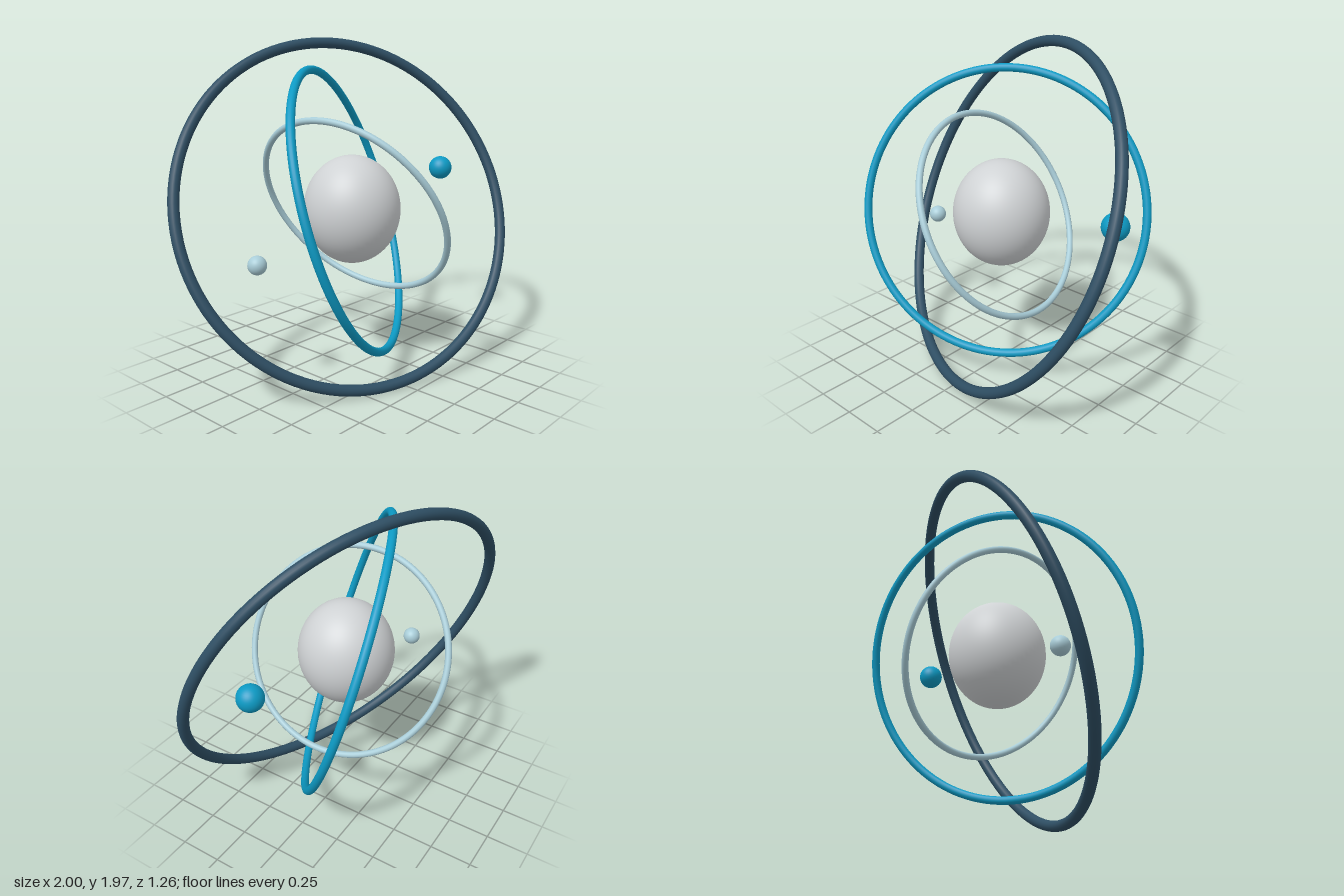
import * as THREE from 'three';

const CENTER_Y = 0.985;

const paint = (name, color) => {
  const m = new THREE.MeshStandardMaterial({ color });
  m.name = name;
  return m;
};

export function createModel() {
  const group = new THREE.Group();
  group.name = 'orbitModel';

  const grey = paint('core grey', 0xcfd2d4);
  const navy = paint('slate navy', 0x2e4e63);
  const blue = paint('bright blue', 0x0d9ac4);
  const pale = paint('pale blue', 0xa9cdd8);

  const addBall = (name, material, radius, x, y, z, segments = 40) => {
    const ball = new THREE.Mesh(new THREE.SphereGeometry(radius, segments, segments / 2), material);
    ball.name = name;
    ball.position.set(x, y, z);
    group.add(ball);
    return ball;
  };

  // Each ring is a torus turned so its axis follows the given normal
  const addRing = (name, material, radius, tube, normal) => {
    const ring = new THREE.Mesh(new THREE.TorusGeometry(radius, tube, 16, 128), material);
    ring.name = name;
    ring.position.y = CENTER_Y;
    ring.quaternion.setFromUnitVectors(
      new THREE.Vector3(0, 0, 1),
      new THREE.Vector3(...normal).normalize()
    );
    group.add(ring);
  };

  // Core, slightly taller than wide
  addBall('core', grey, 0.284, 0, CENTER_Y, 0, 64).scale.y = 1.12;

  // Three nested orbits
  addRing('outerRing', navy, 1.033, 0.032, [-0.351, 0.387, 0.853]);
  addRing('middleRing', blue, 0.837, 0.024, [0.454, 0.295, 0.841]);
  addRing('innerRing', pale, 0.614, 0.019, [0.869, 0.487, -0.09]);

  // Satellites
  addBall('largeSatellite', blue, 0.074, 0.818, 1.14, 0.047);
  addBall('smallSatellite', pale, 0.053, -0.655, 0.767, -0.095);

  return group;
}
